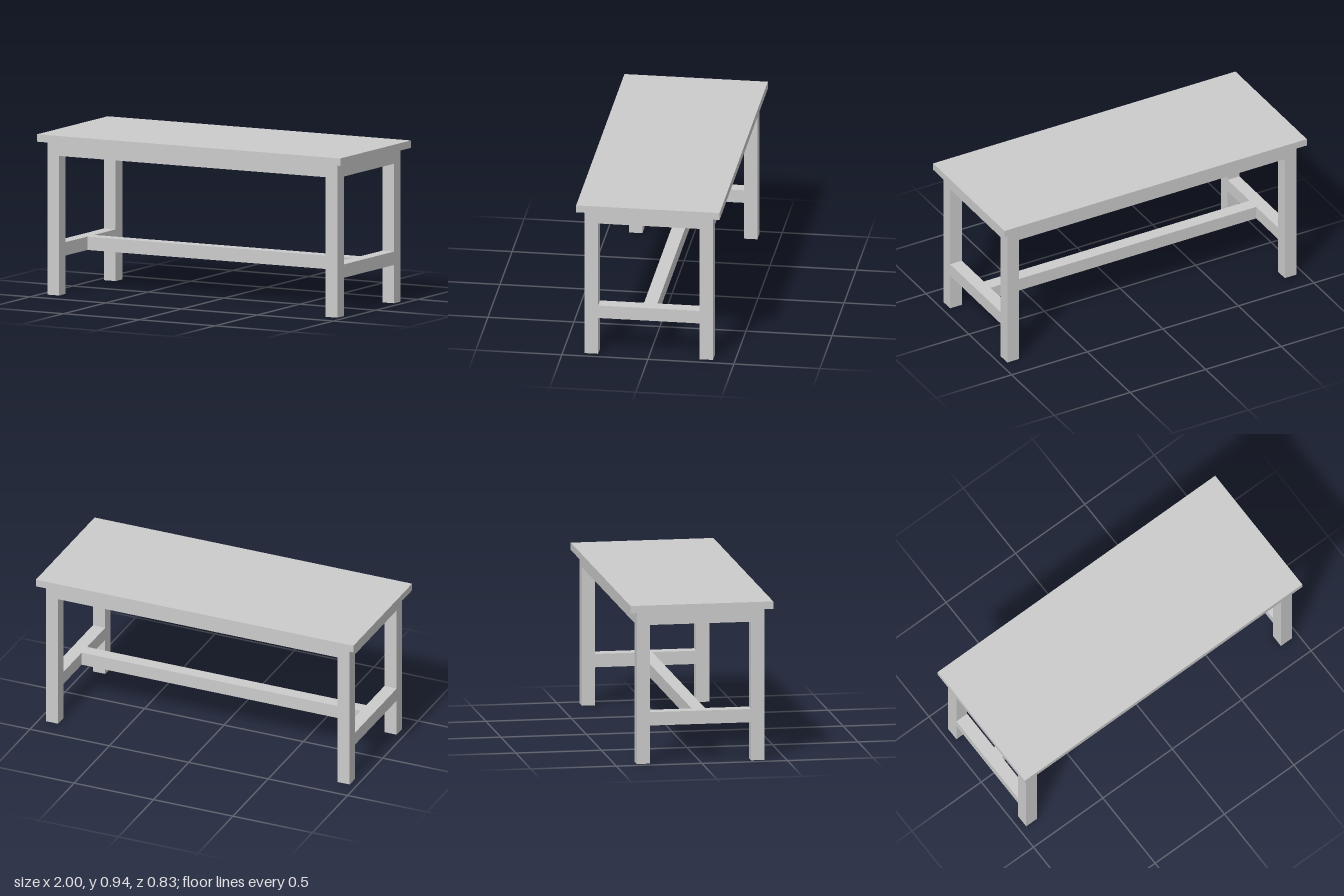
import * as THREE from 'three';

const material = new THREE.MeshStandardMaterial({ color: 0xcccccc, flatShading: true });

// Main dimensions
const TOP_Y = 0.935, TOP_T = 0.043, TOP_D = 0.834;
const UNDER = TOP_Y - TOP_T;           // underside of the top
const BEAM = 0.078;                    // square section of legs and rails
const LEG_X = 0.918, LEG_Z = 0.334;    // leg centres
const APRON_Y = UNDER - 0.04;
const STRETCHER_Y = 0.262;

function addBox(parent, name, size, position) {
  const mesh = new THREE.Mesh(new THREE.BoxGeometry(...size), material);
  mesh.name = name;
  mesh.position.set(...position);
  parent.add(mesh);
}

export function createModel() {
  const table = new THREE.Group();
  table.name = 'table';

  addBox(table, 'tableTop', [2, TOP_T, TOP_D], [0, TOP_Y - TOP_T / 2, 0]);

  const spanX = 2 * LEG_X - BEAM;
  const spanZ = 2 * LEG_Z - BEAM;

  // End frames: two legs, an apron and a low stretcher, all flush
  for (const [side, sx] of [['left', 1], ['right', -1]]) {
    const frame = new THREE.Group();
    frame.name = `${side}EndFrame`;
    frame.position.x = sx * LEG_X;
    addBox(frame, 'frontLeg', [BEAM, UNDER, BEAM], [0, UNDER / 2, LEG_Z]);
    addBox(frame, 'backLeg', [BEAM, UNDER, BEAM], [0, UNDER / 2, -LEG_Z]);
    addBox(frame, 'endApron', [BEAM, 0.08, spanZ], [0, APRON_Y, 0]);
    addBox(frame, 'endStretcher', [BEAM, BEAM, spanZ], [0, STRETCHER_Y, 0]);
    table.add(frame);
  }

  // Long aprons under the top, and the stretcher joining the end frames
  addBox(table, 'frontApron', [spanX, 0.08, BEAM], [0, APRON_Y, LEG_Z]);
  addBox(table, 'backApron', [spanX, 0.08, BEAM], [0, APRON_Y, -LEG_Z]);
  addBox(table, 'centreStretcher', [spanX, BEAM, BEAM], [0, STRETCHER_Y, 0]);

  return table;
}
